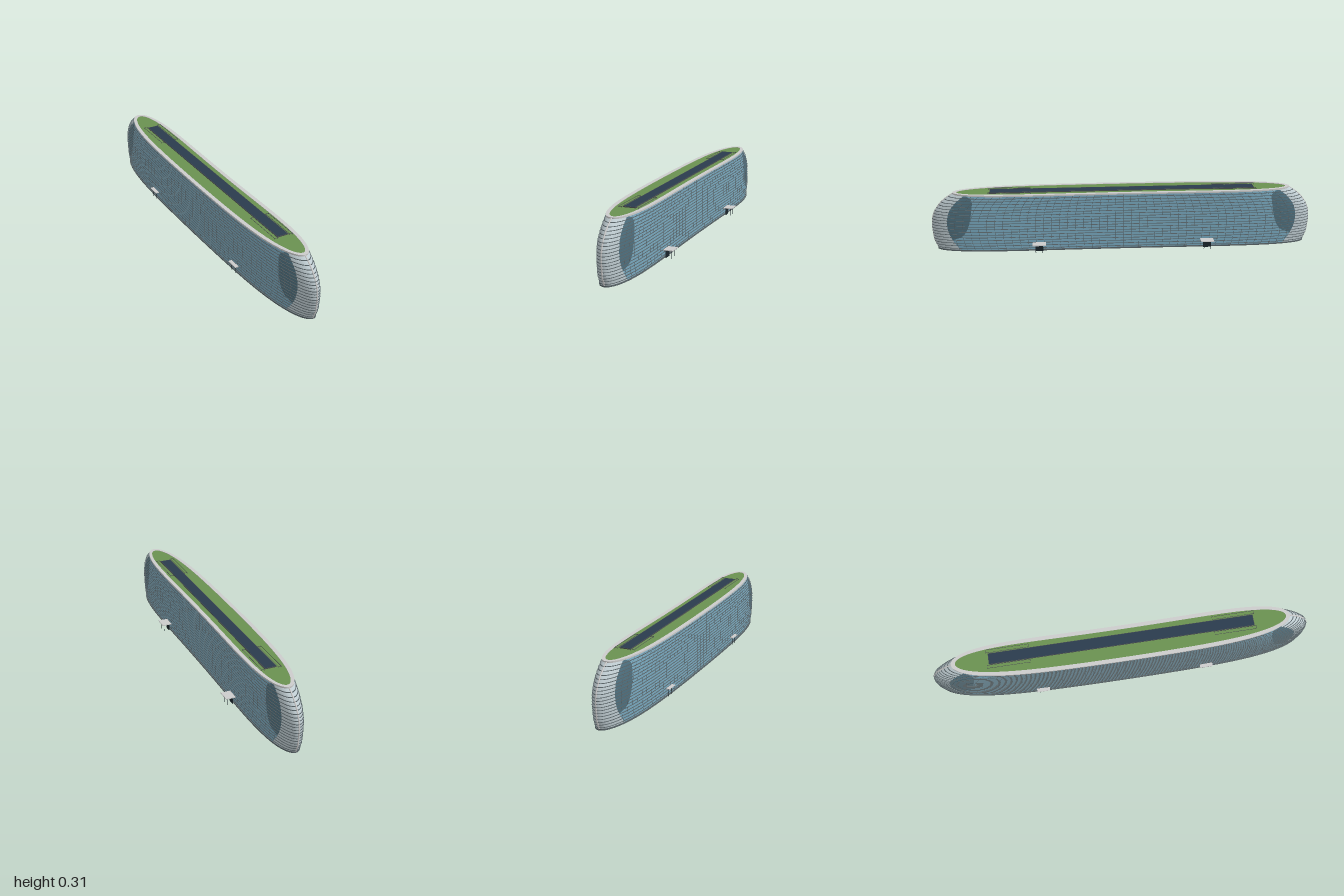
import * as THREE from 'three';
import { toCreasedNormals } from 'three/addons/utils/BufferGeometryUtils.js';
import { ParametricGeometry } from 'three/addons/geometries/ParametricGeometry.js';

const HEIGHT = 0.3, HALF_WIDTH = 0.093, FLOORS = 20;

// Half-length of the building at each height: bulging ends that round in at the roof
const PROFILE = [[0, 0.965], [0.05, 0.987], [0.12, 0.995], [0.17, 0.992], [0.21, 0.977], [0.25, 0.947], [0.28, 0.912], [0.3, 0.88]];
function halfLength(y) {
  let i = 0;
  while (i < PROFILE.length - 2 && y > PROFILE[i + 1][0]) i++;
  const [y0, l0] = PROFILE[i], [y1, l1] = PROFILE[i + 1];
  return l0 + (l1 - l0) * (y - y0) / (y1 - y0);
}

// Plan: a blunt oval with a slightly bowed centre line; t runs -1..1 along the length
function wallX(t, side, off = 0) {
  return -0.02 * (1 - t * t) + side * (HALF_WIDTH + off) * Math.sqrt(Math.max(0, 1 - Math.abs(t) ** 5));
}
function outline(u, y, off, target) {
  const a = u * Math.PI * 2, t = Math.cos(a);
  return target.set(wallX(t, Math.sin(a) >= 0 ? 1 : -1, off), y, t * (halfLength(Math.min(y, HEIGHT)) + off));
}

// Edges between the glass facade, the screened glass and the end shell
const shellEdge = y => 0.915 - 3.2 * (y - 0.15) ** 2 - (y > 0.2 ? 2.5 * (y - 0.2) ** 2 : 0);
const screenEdge = y => shellEdge(y) - 0.12 * Math.sqrt(Math.max(0, 1 - ((y - 0.18) / 0.115) ** 2));

export function createModel() {
  const group = new THREE.Group();
  const mat = color => {
    const m = new THREE.MeshStandardMaterial({ color, side: THREE.DoubleSide });
    return m;
  };
  const glass = mat(0x78a8be), screen = mat(0x4d6f7e), shell = mat(0xbfccd1), slab = mat(0x596468);
  const rimMat = mat(0xcccccc), green = mat(0x6a9150), dark = mat(0x18242a), panel = mat(0x2a3b4d), metal = mat(0x4a4f50);

  const add = (name, geometry, material, x = 0, y = 0, z = 0) => {
    const mesh = new THREE.Mesh(geometry, material);
    mesh.name = name;
    mesh.position.set(x, y, z);
    group.add(mesh);
    return mesh;
  };
  const box = (name, w, h, d, material, x, y, z) => add(name, new THREE.BoxGeometry(w, h, d), material, x, y, z);

  // Wall patch between two edges given as functions of height
  const patch = (name, side, from, to, material, ease, nu) => {
    const g = new ParametricGeometry((u, v, p) => {
      const y = v * HEIGHT, a = from(y), z = a + (to(y) - a) * ease(u);
      p.set(wallX(z / halfLength(y), side), y, z);
    }, nu, 40);
    g.computeVertexNormals();
    add(name, g, material);
  };
  const linear = u => u, roundOff = u => Math.sin(u * Math.PI / 2);
  for (const side of [-1, 1]) {
    patch('glassFacade', side, y => -screenEdge(y), screenEdge, glass, linear, 60);
    for (const end of [-1, 1]) {
      patch('screenedGlass', side, y => end * screenEdge(y), y => end * shellEdge(y), screen, linear, 8);
      patch('endShell', side, y => end * shellEdge(y), y => end * halfLength(y), shell, roundOff, 24);
    }
  }

  // Closed band of rectangular section around the plan
  const band = (name, y, h, inner, outer, material) => {
    const corners = [[inner, -h / 2], [outer, -h / 2], [outer, h / 2], [inner, h / 2]];
    const g = new ParametricGeometry((u, v, p) => {
      const [off, dy] = corners[Math.round(v * 4) % 4];
      outline(u, y, off, p);
      p.y += dy;
    }, 128, 4);
    add(name, toCreasedNormals(g, 0.6), material);
  };
  for (let i = 1; i < FLOORS; i++) band('floorFin', i * HEIGHT / FLOORS, 0.0025, -0.002, 0.003, slab);
  band('baseRim', 0.004, 0.007, -0.003, 0.005, slab);
  band('roofRim', HEIGHT, 0.008, -0.016, 0.005, rimMat);

  // Vertical mullions and the ridge down the middle of each end
  const upright = (name, t, side, radius, material) => {
    const pts = [];
    for (let i = 0; i <= 12; i++) {
      const y = i * HEIGHT / 12;
      pts.push(new THREE.Vector3(wallX(t, side), y, t * halfLength(y)));
    }
    add(name, new THREE.TubeGeometry(new THREE.CatmullRomCurve3(pts), 18, radius, radius > 0.003 ? 8 : 4), material);
  };
  for (const side of [-1, 1]) {
    for (let i = -21; i <= 21; i++) upright('mullion', i * 0.042, side, 0.0008, slab);
    upright('endRidge', side, 1, 0.004, rimMat);
  }

  // Flat caps: planted roof and dark underside
  const cap = (name, y, level, off, material) => {
    const p = new THREE.Vector3(), pts = [];
    for (let i = 0; i < 128; i++) {
      outline(i / 128, level, off, p);
      pts.push(new THREE.Vector2(p.x, -p.z));
    }
    const g = new THREE.ShapeGeometry(new THREE.Shape(pts));
    g.rotateX(-Math.PI / 2);
    add(name, g, material, 0, y, 0);
  };
  cap('plantedRoof', HEIGHT + 0.002, HEIGHT, -0.014, green);
  cap('underside', 0.001, 0, 0, dark);

  // Long roof panel with a thin kerb
  box('roofPanel', 0.056, 0.004, 1.38, panel, 0, 0.305, 0);
  for (const s of [-1, 1]) {
    box('panelKerb', 0.002, 0.005, 1.384, metal, s * 0.029, 0.305, 0);
    box('panelKerb', 0.06, 0.005, 0.002, metal, 0, 0.305, s * 0.691);
  }

  for (const x of [-1, 1]) for (const z of [-1, 1]) {
    // Railing frames beside the roof panel
    for (const rx of [0.034, 0.05]) box('roofRail', 0.0016, 0.0016, 0.22, metal, x * rx, 0.3075, z * 0.59);
    for (const rz of [0.48, 0.7]) {
      box('roofRail', 0.016, 0.0016, 0.0016, metal, x * 0.042, 0.3075, z * rz);
      for (const rx of [0.034, 0.05]) box('railPost', 0.0016, 0.006, 0.0016, metal, x * rx, 0.305, z * rz);
    }
    // Entrance canopy, door and posts
    const cz = z * 0.44;
    box('canopy', 0.06, 0.004, 0.068, rimMat, x * 0.1, 0.044, cz);
    box('entranceDoor', 0.003, 0.037, 0.04, dark, x * 0.088, 0.0195, cz);
    for (const pz of [-0.018, 0.018]) {
      add('canopyPost', new THREE.CylinderGeometry(0.0013, 0.0013, 0.042, 8), dark, x * 0.118, 0.021, cz + pz);
    }
  }
  return group;
}
